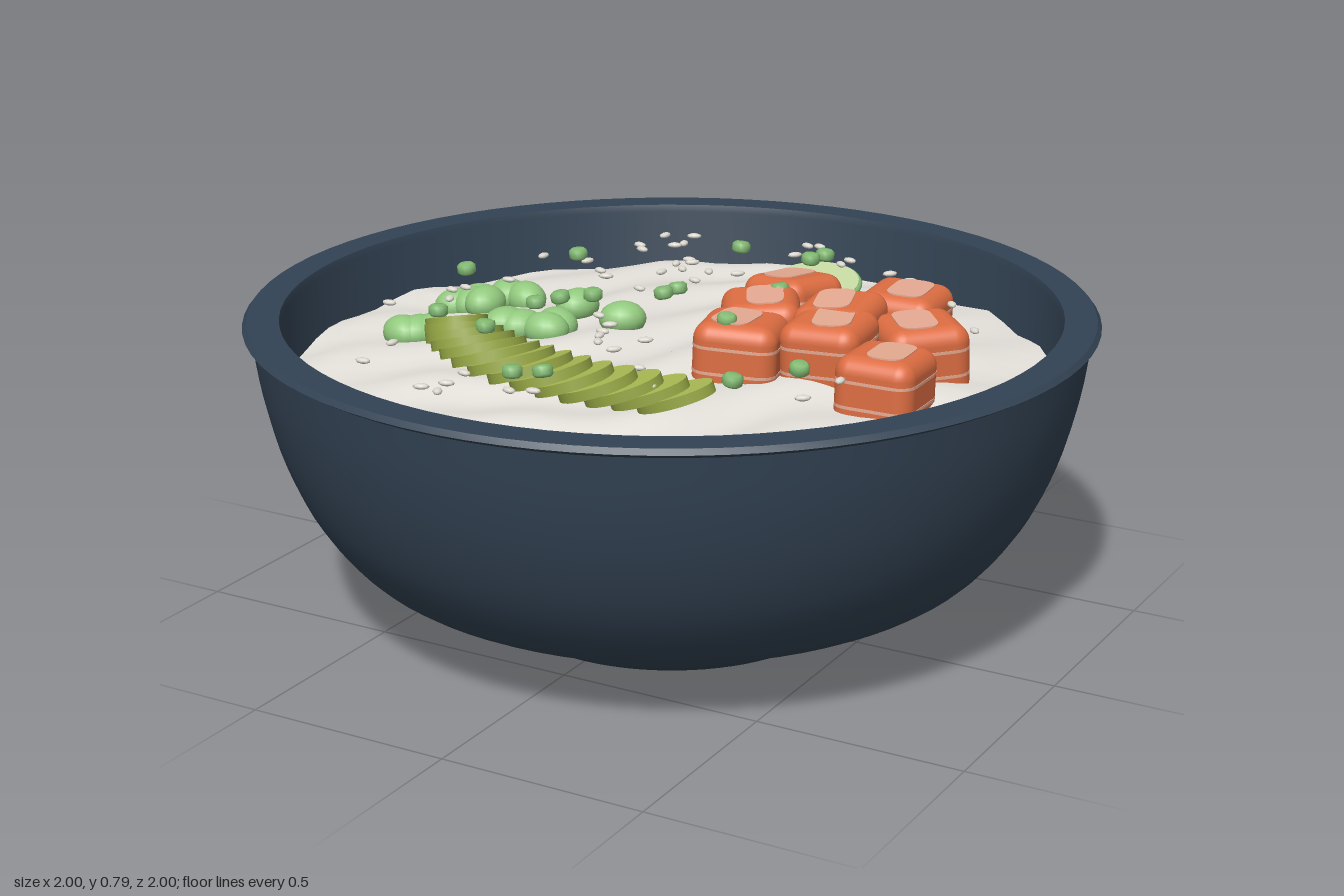
import * as THREE from 'three';
import { toCreasedNormals } from 'three/addons/utils/BufferGeometryUtils.js';
import { RoundedBoxGeometry } from 'three/addons/geometries/RoundedBoxGeometry.js';

const mat = (name, color, side = THREE.FrontSide) => {
  const m = new THREE.MeshStandardMaterial({ color, side });
  m.name = name;
  return m;
};
const v2 = ([x, y]) => new THREE.Vector2(x, y);

export function createModel() {
  const M = {
    bowl: mat('slate bowl', 0x334354),
    rice: mat('rice white', 0xe6e2dc, THREE.DoubleSide),
    salmon: mat('salmon orange', 0xdd6d42),
    fat: mat('salmon fat', 0xe6aa92),
    flesh: mat('cucumber flesh', 0xc6d8a2),
    skin: mat('cucumber skin', 0x82ba72),
    avocado: mat('avocado green', 0xabbc54),
    avocadoEdge: mat('avocado edge', 0x95a645),
    bean: mat('bean green', 0x92c97e),
    seed: mat('sesame cream', 0xdcd8cf),
  };
  const model = new THREE.Group();
  let s = 7;
  const rand = () => ((s = (s * 16807) % 2147483647) / 2147483647);
  const add = (name, geo, material, parent = model) => {
    const m = new THREE.Mesh(geo, material);
    m.name = name;
    parent.add(m);
    return m;
  };
  const group = (name, parent = model) => {
    const g = new THREE.Group();
    g.name = name;
    parent.add(g);
    return g;
  };

  // Bowl: soft foot and full rounded wall, then a crisp rim with the inner wall
  const wall = new THREE.SplineCurve([[0.445, 0.066], [0.53, 0.09], [0.63, 0.115], [0.755, 0.18],
    [0.855, 0.3], [0.92, 0.44], [0.96, 0.59], [0.98, 0.728]].map(v2)).getPoints(28);
  add('bowlOutside', new THREE.LatheGeometry([[0, 0], [0.41, 0]].map(v2).concat(wall), 80), M.bowl);
  const inside = [[0.98, 0.728], [1, 0.74], [0.99, 0.752], [0.915, 0.752], [0.91, 0.735], [0.908, 0.56],
    [0.86, 0.4], [0.78, 0.26], [0.6, 0.15], [0, 0.1]].map(v2);
  add('bowlInside', toCreasedNormals(new THREE.LatheGeometry(inside, 80), 0.6), M.bowl);

  // Rice: a shallow, rippled mound
  const riceY = (x, z) => 0.593 + 0.045 * (1 - (x * x + z * z) / 0.82)
    + 0.008 * Math.sin(16 * (x + z) + 1.5 * Math.sin(5 * (x - z))) + 0.005 * Math.sin(21 * x - 6 * z);
  const rice = new THREE.RingGeometry(0.001, 0.907, 80, 30).rotateX(-Math.PI / 2);
  const p = rice.attributes.position;
  for (let i = 0; i < p.count; i++) p.setY(i, riceY(p.getX(i), p.getZ(i)));
  rice.computeVertexNormals();
  add('rice', rice, M.rice);

  // Cucumber slices with a thin skin
  const cucumbers = group('cucumberSlices');
  [[0.06, -0.61, 0.2], [0.33, -0.52, -0.06], [0.09, -0.43, -0.06], [0.31, -0.31, -0.04],
    [0.14, -0.22, -0.04]].forEach(([x, z, tilt], i) => {
    const g = group('cucumberSlice', cucumbers);
    g.position.set(x, 0.65 + 0.004 * i, z);
    g.rotation.x = tilt;
    add('cucumberFlesh', new THREE.CylinderGeometry(0.119, 0.119, 0.02, 40), M.flesh, g);
    add('cucumberSkin', new THREE.TorusGeometry(0.119, 0.008, 8, 40).rotateX(Math.PI / 2), M.skin, g);
  });

  // Salmon cubes with pale bands and a pale patch on top
  const plate = (w, d, r, h) => {
    const a = w / 2, b = d / 2, sh = new THREE.Shape();
    sh.moveTo(-a + r, -b).lineTo(a - r, -b).quadraticCurveTo(a, -b, a, -b + r)
      .lineTo(a, b - r).quadraticCurveTo(a, b, a - r, b).lineTo(-a + r, b)
      .quadraticCurveTo(-a, b, -a, b - r).lineTo(-a, -b + r).quadraticCurveTo(-a, -b, -a + r, -b);
    return new THREE.ExtrudeGeometry(sh, { depth: h, bevelEnabled: false, curveSegments: 5 })
      .rotateX(-Math.PI / 2).translate(0, -h / 2, 0);
  };
  const salmon = group('salmonCubes');
  const block = new RoundedBoxGeometry(0.192, 0.18, 0.192, 4, 0.04);
  const band = plate(0.195, 0.195, 0.05, 0.007);
  const patch = plate(0.09, 0.13, 0.035, 0.004);
  [[0.13, -0.37, -0.3, 0.662], [0.41, -0.41, 0.08, 0.66], [0.55, -0.2, 0.75, 0.66],
    [0.17, -0.13, 0.5, 0.68], [0.36, -0.17, 0.08, 0.688], [0.385, -0.06, 0.1, 0.678],
    [0.2, 0.03, 0.25, 0.672], [0.575, 0.04, 0.06, 0.652]].forEach(([x, z, turn, y], i) => {
    const g = group('salmonCube', salmon);
    g.position.set(x, y, z);
    g.rotation.set(0.16 * (rand() - 0.5), turn, 0.16 * (rand() - 0.5));
    g.scale.set(0.97 + 0.08 * rand(), 1, 0.97 + 0.08 * rand());
    add('salmonFlesh', block, M.salmon, g);
    for (const h of [-0.025, 0.035]) add('fatBand', band, M.fat, g).position.y = h;
    const t = add('fatPatch', patch, M.fat, g);
    t.position.set(i % 2 ? 0.012 : -0.012, 0.0905, 0);
    t.rotation.y = 0.5 * (rand() - 0.5);
  });

  // Avocado: long oval slices shingled along an arc, each raised at its right end
  const avocado = group('avocadoFan');
  const arc = new THREE.CatmullRomCurve3([[-0.44, 0.712, 0.25], [-0.35, 0.718, 0.345],
    [-0.17, 0.72, 0.45], [0.04, 0.71, 0.475], [0.25, 0.695, 0.425]]
    .map((a) => new THREE.Vector3(...a)));
  const slice = new THREE.CylinderGeometry(1, 1, 0.024, 24);
  const count = 14;
  for (let i = 0; i < count; i++) {
    const t = i / (count - 1), c = arc.getPointAt(t), d = arc.getTangentAt(t);
    const m = add('avocadoSlice', slice, [M.avocadoEdge, M.avocado, M.avocado], avocado);
    m.position.copy(c);
    m.rotation.order = 'YZX';
    m.rotation.set(0, Math.atan2(-d.z, d.x), 0.33);
    m.scale.set(0.092, 1, 0.066 + 0.04 * Math.sin(Math.PI * Math.min(1, t + 0.06)));
  }

  // Beans
  const beans = group('beans');
  const ball = new THREE.SphereGeometry(1, 18, 12);
  [[-0.6, -0.22], [-0.54, -0.21], [-0.65, -0.17], [-0.68, -0.11], [-0.64, -0.12], [-0.59, -0.1],
    [-0.37, -0.18], [-0.2, -0.11], [-0.35, -0.05], [-0.35, 0.0], [-0.42, 0], [-0.46, 0.01],
    [-0.61, 0.1], [-0.67, 0.14], [-0.64, 0.12]].forEach(([x, z]) => {
    const m = add('bean', ball, M.bean, beans);
    m.position.set(x, riceY(x, z) + 0.018, z);
    m.scale.set(0.058, 0.043, 0.048);
    m.rotation.y = rand() * 3;
  });

  // Small rounded rings of green garnish
  const garnish = group('garnish');
  const ring = new THREE.LatheGeometry([[0, -0.015], [0.016, -0.014], [0.023, -0.008],
    [0.023, 0.008], [0.016, 0.014], [0, 0.015]].map(v2), 16);
  [[-0.09, -0.51], [0.12, -0.56], [0.11, -0.5], [-0.41, -0.25], [-0.03, -0.08], [-0.04, -0.03],
    [-0.59, -0.02], [-0.18, 0.06], [-0.24, 0.11], [-0.27, 0.17], [-0.45, 0.31], [-0.28, 0.37],
    [0.18, -0.2], [0.19, 0.08], [0.48, 0.28], [0.39, 0.42], [0, 0.57], [-0.06, 0.6]].forEach(([x, z]) => {
    const m = add('garnishPiece', ring, M.skin, garnish);
    m.position.set(x, 0.77 - 0.05 * (x * x + z * z), z);
    m.rotation.set(0.5 * (rand() - 0.5), 0, 0.5 * (rand() - 0.5));
  });

  // Sesame seeds
  const seeds = group('sesameSeeds');
  const seedBall = new THREE.SphereGeometry(1, 8, 6);
  [[-0.32, -0.68], [-0.39, -0.65], [-0.3, -0.59], [-0.31, -0.56], [-0.39, -0.52], [-0.36, -0.48],
    [-0.02, -0.74], [0.01, -0.75], [0.14, -0.66], [0.14, -0.61], [0, -0.63], [0.07, -0.58],
    [0.28, -0.6], [0.35, -0.57], [-0.2, -0.44], [-0.21, -0.39], [-0.18, -0.42], [-0.17, -0.35],
    [-0.2, -0.3], [-0.1, -0.36], [-0.03, -0.38], [-0.09, -0.27], [-0.11, -0.18], [-0.42, -0.31],
    [-0.34, -0.24], [-0.3, -0.2], [-0.55, -0.31], [-0.5, -0.07], [-0.56, 0.03], [-0.54, 0.13],
    [-0.58, 0.06], [-0.66, 0.21], [-0.14, 0.1], [-0.08, 0.15], [-0.07, 0.2], [-0.06, 0.23],
    [-0.04, 0.27], [0.02, 0.3], [0.05, 0.21], [0.53, 0.36], [0.55, 0.22], [0.13, 0.38],
    [0.21, 0.46], [0.52, -0.44], [0.65, -0.28], [-0.47, 0.47], [-0.46, 0.6], [-0.2, 0.65],
    [-0.2, 0.58], [-0.24, 0.69], [-0.19, 0.7], [-0.05, 0.63], [0, 0.61], [-0.17, -0.14]].forEach(([x, z]) => {
    const m = add('sesameSeed', seedBall, M.seed, seeds);
    m.position.set(x, 0.735 - 0.04 * (x * x + z * z), z);
    m.scale.set(0.019, 0.007, 0.011);
    m.rotation.y = rand() * Math.PI;
  });

  return model;
}
